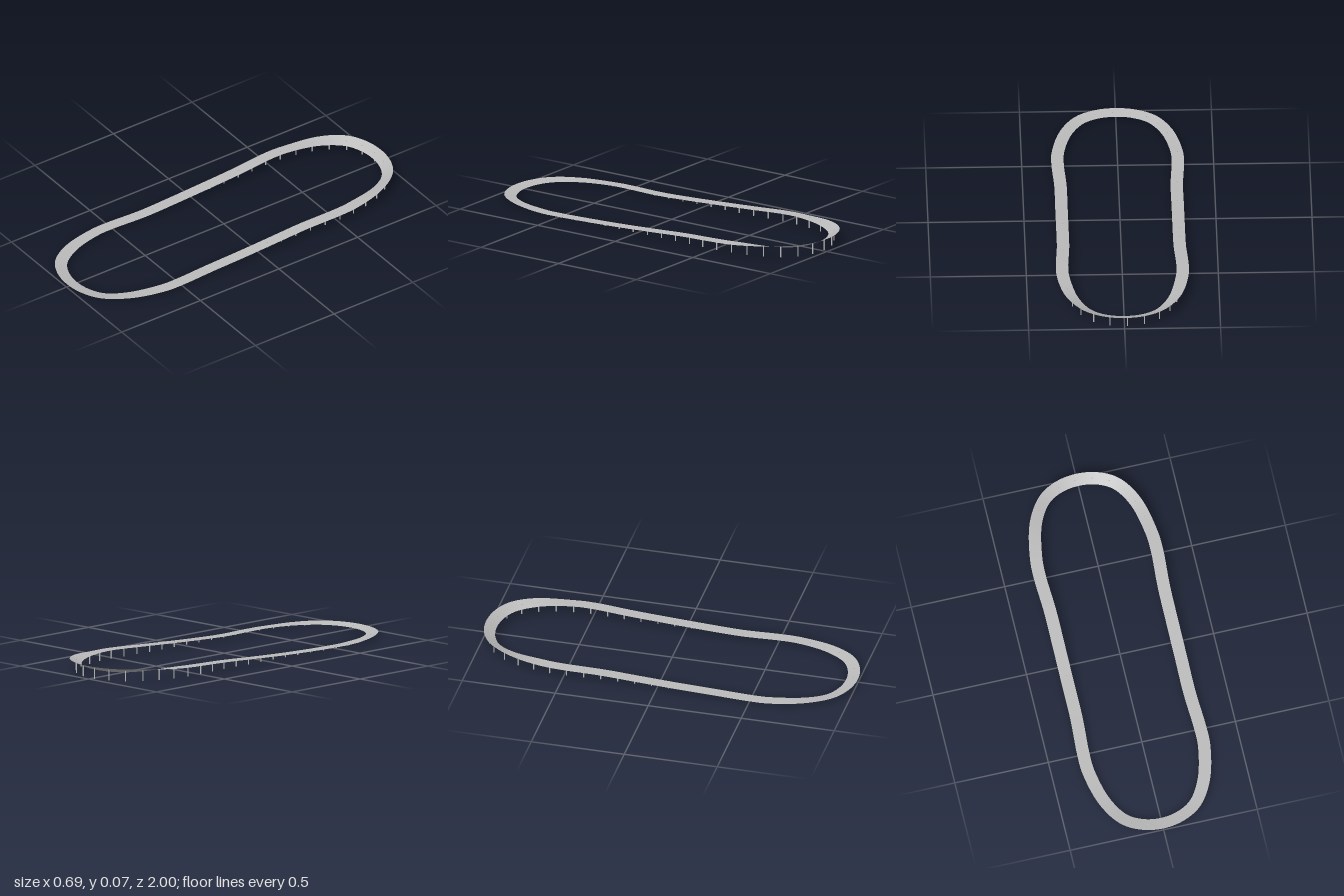
import * as THREE from 'three';

const WIDTH = 0.065;
const SEGMENTS = 240;
const PILLARS = 50;

// Half of the centreline, front to back: x, y, z
const HALF = [
  [0.1, 0.013, 0.951], [0.19, 0.013, 0.9], [0.265, 0.013, 0.782], [0.31, 0.012, 0.6],
  [0.313, 0.012, 0.5], [0.303, 0.013, 0.3], [0.303, 0.02, 0.1], [0.303, 0.03, -0.1],
  [0.304, 0.041, -0.3], [0.314, 0.05, -0.5], [0.309, 0.0525, -0.6], [0.265, 0.056, -0.79],
  [0.19, 0.056, -0.906], [0.1, 0.055, -0.956],
];
const SEAM = 5;

function makeCentreline() {
  const left = HALF.map(([x, y, z]) => new THREE.Vector3(x, y, z));
  const right = HALF.map(([x, y, z]) => new THREE.Vector3(-x, y, z));
  // The loop starts at the seam on the left side and runs towards the front
  const points = [
    ...left.slice(0, SEAM + 1).reverse(),
    new THREE.Vector3(0, 0.013, 0.967),
    ...right,
    new THREE.Vector3(0, 0.055, -0.971),
    ...left.slice(SEAM + 1).reverse(),
  ];
  const curve = new THREE.CatmullRomCurve3(points, true, 'centripetal');
  curve.arcLengthDivisions = 1000;
  return curve;
}

// The end curves lean inwards, the back one more steeply
function bankAngle(z) {
  const steepest = THREE.MathUtils.degToRad(z < 0 ? 25 : 10);
  return steepest * THREE.MathUtils.smoothstep(Math.abs(z), 0.6, 0.96);
}

function makeDeck(curve) {
  const positions = [];
  const index = [];
  const up = new THREE.Vector3(0, 1, 0);
  for (let i = 0; i <= SEGMENTS; i++) {
    const p = curve.getPointAt(i / SEGMENTS);
    const tangent = curve.getTangentAt(i / SEGMENTS).setY(0).normalize();
    const angle = bankAngle(p.z);
    const across = up.clone().cross(tangent).multiplyScalar(Math.cos(angle));
    across.y = Math.sin(angle);
    for (const side of [-0.5, 0.5]) {
      positions.push(...p.clone().addScaledVector(across, side * WIDTH).toArray());
    }
    if (i < SEGMENTS) {
      const a = i * 2;
      index.push(a, a + 2, a + 1, a + 1, a + 2, a + 3);
    }
  }
  const geometry = new THREE.BufferGeometry();
  geometry.setAttribute('position', new THREE.Float32BufferAttribute(positions, 3));
  geometry.setIndex(index);
  geometry.computeVertexNormals();
  return geometry;
}

export function createModel() {
  const model = new THREE.Group();
  model.name = 'bankedTrack';

  const lightGrey = new THREE.MeshStandardMaterial({ color: 0xbcbcbc, side: THREE.DoubleSide });
  lightGrey.name = 'lightGrey';

  const curve = makeCentreline();

  // Thin road surface
  const deck = new THREE.Mesh(makeDeck(curve), lightGrey);
  deck.name = 'trackDeck';
  model.add(deck);

  // Evenly spaced round posts, just piercing the deck
  const pillars = new THREE.Group();
  pillars.name = 'supportPillars';
  const unitPillar = new THREE.CylinderGeometry(0.0033, 0.0033, 1, 20).translate(0, 0.5, 0);
  for (let i = 0; i < PILLARS; i++) {
    const p = curve.getPointAt(i / PILLARS);
    const pillar = new THREE.Mesh(unitPillar, lightGrey);
    pillar.name = 'pillar';
    pillar.position.set(p.x, 0, p.z);
    pillar.scale.y = p.y + 0.001;
    pillars.add(pillar);
  }
  model.add(pillars);

  return model;
}
